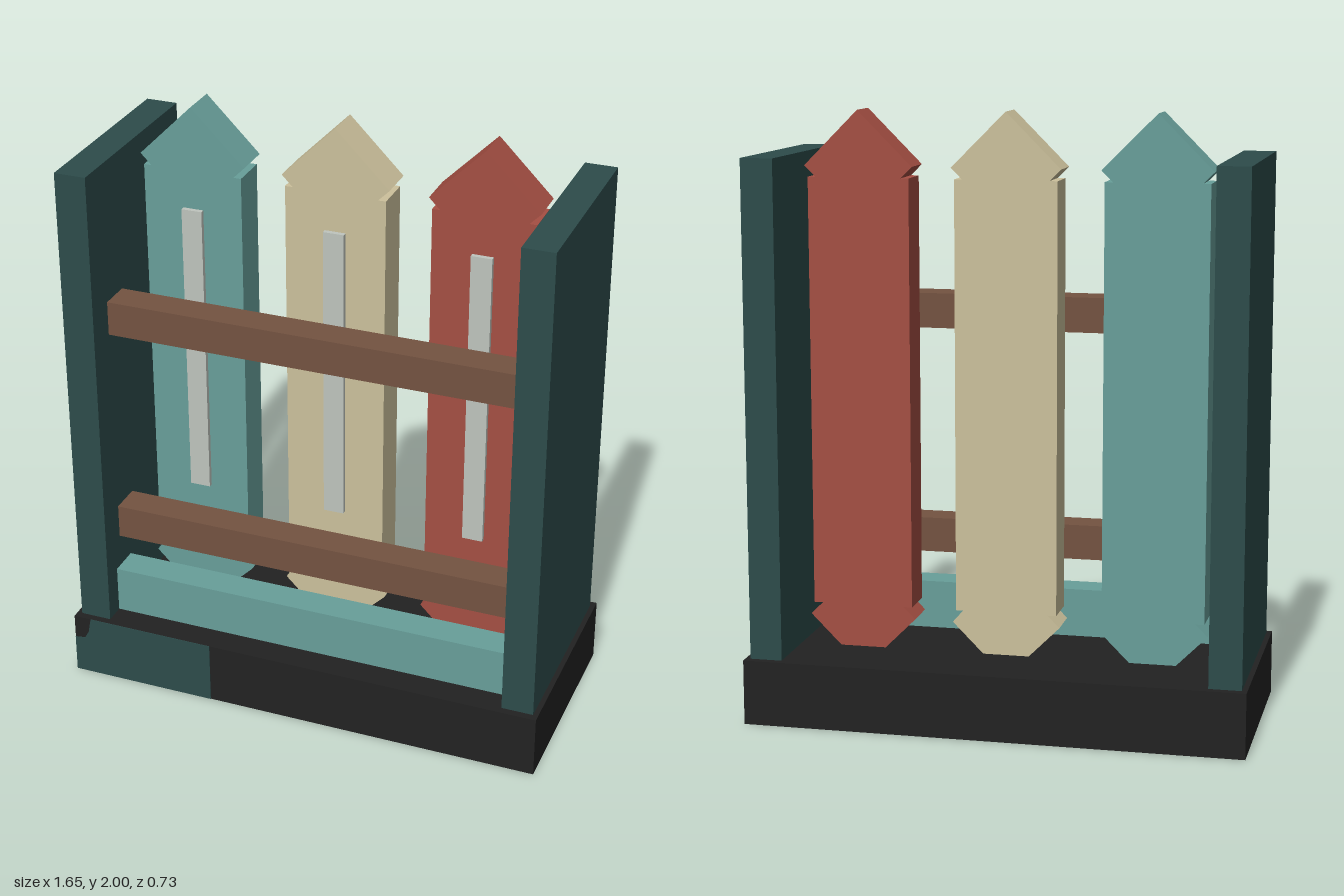
import * as THREE from 'three';

const paint = (name, color) => {
  const m = new THREE.MeshStandardMaterial({ color });
  m.name = name;
  return m;
};

export function createModel() {
  const model = new THREE.Group();
  model.name = 'picketRack';

  const black = paint('black', 0x222222);
  const darkTeal = paint('darkTeal', 0x2d4c4b);
  const teal = paint('teal', 0x689f9a);
  const cream = paint('cream', 0xccc19c);
  const red = paint('red', 0xa54f43);
  const brown = paint('brown', 0x745341);
  const grey = paint('grey', 0xbfc5be);

  // Box given by its minimum and maximum corners
  const box = (name, material, [x0, y0, z0], [x1, y1, z1], parent = model) => {
    const mesh = new THREE.Mesh(new THREE.BoxGeometry(x1 - x0, y1 - y0, z1 - z0), material);
    mesh.position.set((x0 + x1) / 2, (y0 + y1) / 2, (z0 + z1) / 2);
    mesh.name = name;
    parent.add(mesh);
    return mesh;
  };

  // Flat outline extruded from z0 to z1
  const slab = (name, material, points, z0, z1, parent = model) => {
    const shape = new THREE.Shape(points.map(([x, y]) => new THREE.Vector2(x, y)));
    const geometry = new THREE.ExtrudeGeometry(shape, { depth: z1 - z0, bevelEnabled: false });
    const mesh = new THREE.Mesh(geometry, material);
    mesh.position.z = z0;
    mesh.name = name;
    parent.add(mesh);
    return mesh;
  };

  // Base with a painted panel on its front
  box('base', black, [-0.827, 0, -0.363], [0.827, 0.217, 0.363]);
  slab('basePanel', darkTeal, [
    [-0.827, 0], [-0.32, 0], [-0.32, 0.217], [-0.765, 0.217],
    [-0.775, 0.165], [-0.79, 0.137], [-0.827, 0.132],
  ], 0.363, 0.365);

  // Side walls
  box('leftWall', darkTeal, [0.703, 0.217, -0.338], [0.81, 1.857, 0.338]);
  box('rightWall', darkTeal, [-0.81, 0.217, -0.338], [-0.703, 1.857, 0.338]);

  // Front plank and two rails
  box('frontPlank', teal, [-0.703, 0.217, 0.16], [0.703, 0.38, 0.268]);
  box('lowerRail', brown, [-0.703, 0.495, 0.125], [0.703, 0.612, 0.235]);
  box('upperRail', brown, [-0.703, 1.265, 0.125], [0.703, 1.382, 0.235]);

  // Pickets: straight body with a notched arrow point at both ends
  const side = [[0, 0.14], [0.18, 0.32], [0.14, 0.36], [0.169, 0.36],
    [0.169, 1.783], [0.143, 1.783], [0.18, 1.82], [0, 2]];
  const outline = [...side, ...side.slice(1, -1).reverse().map(([x, y]) => [-x, y])];
  [teal, cream, red].forEach((material, i) => {
    const picket = new THREE.Group();
    picket.name = ['rightPicket', 'middlePicket', 'leftPicket'][i];
    picket.position.x = (i - 1) * 0.489;
    slab('picketBoard', material, outline, -0.115, 0.014, picket);
    box('picketStrip', grey, [-0.035, 0.63, 0.014], [0.035, 1.653, 0.03], picket);
    model.add(picket);
  });

  return model;
}
